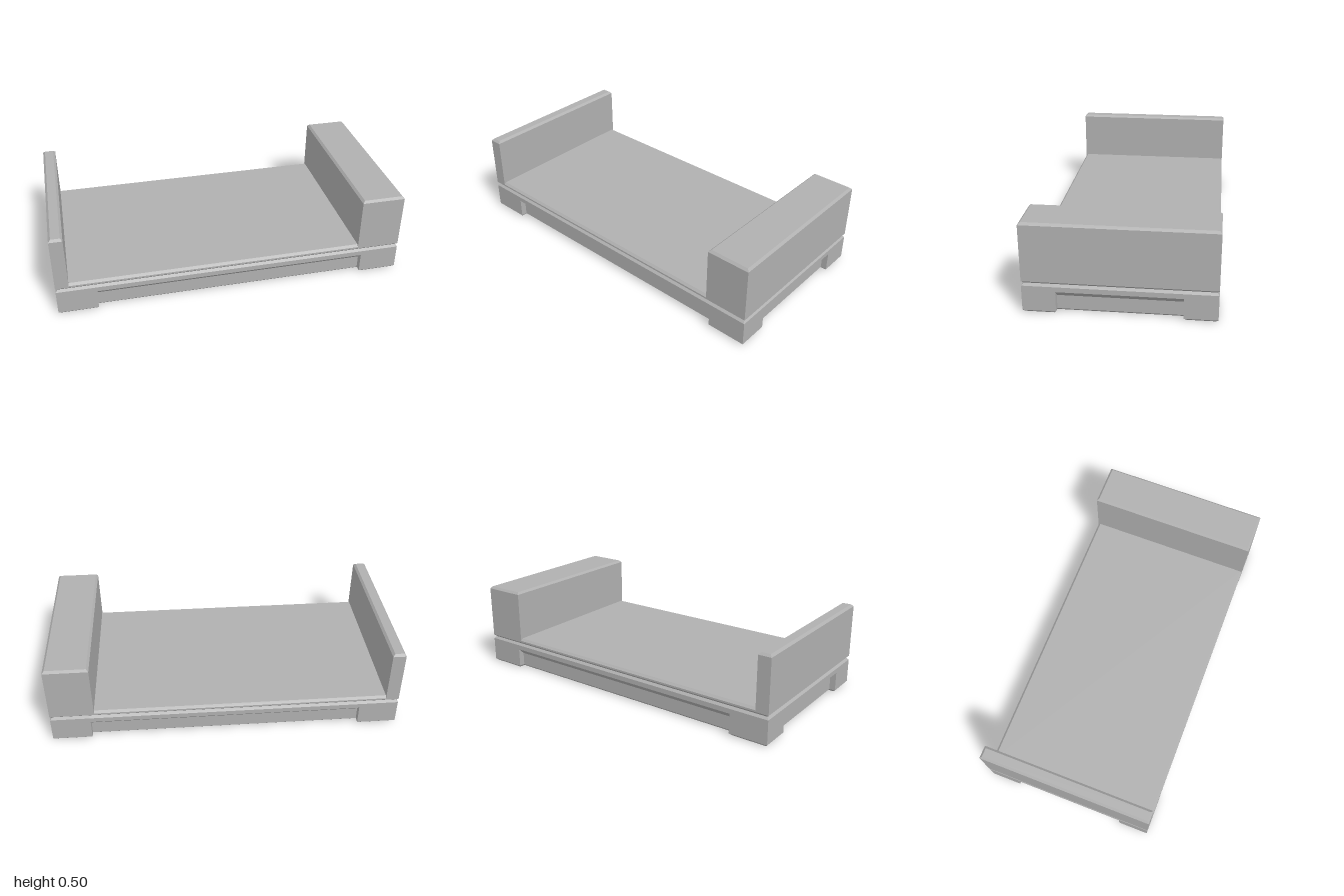
import * as THREE from 'three';

const CHAMFER = 0.0125;

// Stacks flat rings ({ y, pts: [[x, z], ...] }, counter-clockwise from above) into a closed solid.
function stack(levels) {
  const pos = [];
  const tri = (a, b, c) => {
    const n = new THREE.Vector3().crossVectors(b.clone().sub(a), c.clone().sub(a));
    if (n.length() > 1e-8) for (const p of [a, b, c]) pos.push(p.x, p.y, p.z);
  };
  const rings = levels.map(({ y, pts }) => pts.map(([x, z]) => new THREE.Vector3(x, y, z)));
  for (let l = 0; l < rings.length - 1; l++) {
    const lo = rings[l], hi = rings[l + 1];
    for (let i = 0; i < lo.length; i++) {
      const j = (i + 1) % lo.length;
      tri(lo[i], lo[j], hi[j]);
      tri(lo[i], hi[j], hi[i]);
    }
  }
  const cap = (ring, up) => {
    const flat = ring.map((p) => new THREE.Vector2(p.x, -p.z));
    for (const [a, b, c] of THREE.ShapeUtils.triangulateShape(flat, [])) {
      if (up) tri(ring[a], ring[b], ring[c]);
      else tri(ring[a], ring[c], ring[b]);
    }
  };
  cap(rings[0], false);
  cap(rings[rings.length - 1], true);
  const g = new THREE.BufferGeometry();
  g.setAttribute('position', new THREE.Float32BufferAttribute(pos, 3));
  g.computeVertexNormals();
  return g;
}

// Rectangle from x0 to x1 across the full depth, inset separately in x and z.
const rect = (x0, x1, insetX = 0, insetZ = insetX) => {
  const a = x0 + insetX, b = x1 - insetX, z = 0.5 - insetZ;
  return [[b, z], [b, -z], [a, -z], [a, z]];
};

// Base footprint with a notch of depth d in the middle of each side.
function notched(inset, d) {
  const X = 1 - inset, Z = 0.5 - inset, nx = 0.775 + inset, nz = 0.325 + inset;
  const half = [
    [X, Z], [X, nz], [X - d, nz], [X - d, -nz], [X, -nz],
    [X, -Z], [nx, -Z], [nx, -Z + d], [-nx, -Z + d], [-nx, -Z],
  ];
  return [...half, ...half.map(([x, z]) => [-x, -z])];
}

export function createModel() {
  const model = new THREE.Group();
  model.name = 'tray';
  const grey = new THREE.MeshStandardMaterial({ color: 0xb0b0b0 });
  grey.name = 'grey';
  const add = (name, levels) => {
    const mesh = new THREE.Mesh(stack(levels), grey);
    mesh.name = name;
    model.add(mesh);
  };

  // Base with corner feet and side recesses under sloping ceilings
  const depth = 0.035;
  add('base', [
    { y: 0, pts: notched(CHAMFER, depth) },
    { y: CHAMFER, pts: notched(0, depth) },
    { y: 0.09, pts: notched(0, depth) },
    { y: 0.125, pts: notched(0, 0) },
    { y: 0.165 - CHAMFER, pts: notched(0, 0) },
    { y: 0.165, pts: notched(CHAMFER, 0) },
  ]);

  // Upper slab, chamfered below to form a groove above the base
  const slabTop = 0.1875;
  add('slab', [
    { y: 0.165, pts: rect(-1, 1, CHAMFER) },
    { y: 0.165 + CHAMFER, pts: rect(-1, 1) },
    { y: slabTop, pts: rect(-1, 1) },
  ]);

  // Floor between the end walls, chamfered at front and back
  const wallX = -0.925, blockX = 0.75;
  add('floor', [
    { y: slabTop, pts: rect(wallX, blockX) },
    { y: slabTop + CHAMFER, pts: rect(wallX, blockX, 0, CHAMFER) },
  ]);

  // Thin wall on one end, thick block on the other
  for (const [name, x0, x1] of [['thinEndWall', -1, wallX], ['thickEndBlock', blockX, 1]]) {
    add(name, [
      { y: slabTop, pts: rect(x0, x1) },
      { y: 0.5 - CHAMFER, pts: rect(x0, x1) },
      { y: 0.5, pts: rect(x0, x1, CHAMFER) },
    ]);
  }

  return model;
}
